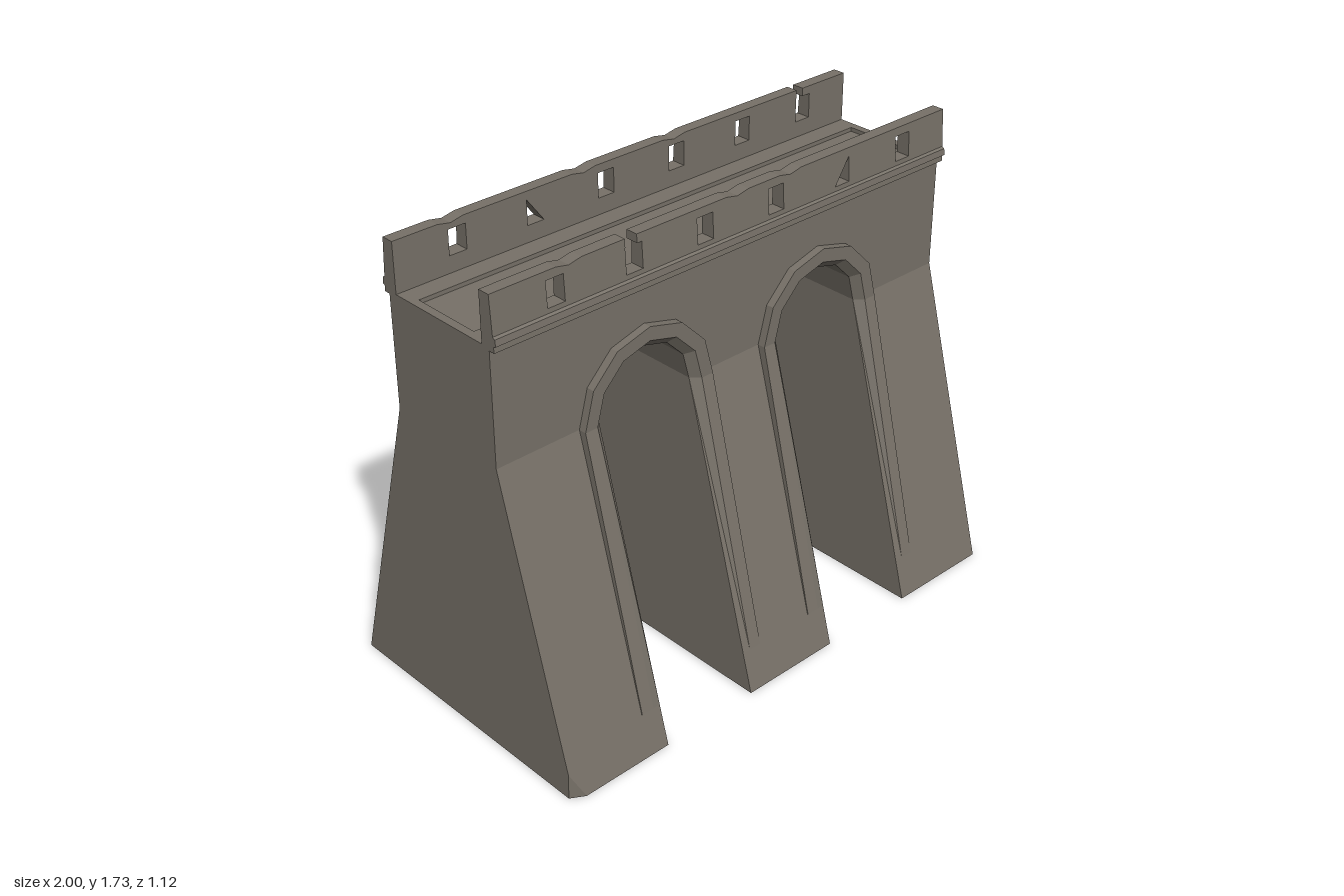
import * as THREE from 'three';
import { ConvexGeometry } from 'three/addons/geometries/ConvexGeometry.js';

const SPRING = 1.13;     // height where the arches spring and the slopes end
const WALL = 0.245;      // half thickness of the upper wall
const BASE = 0.56;       // half depth of the piers at the ground
const ARCH_X = 0.395, ARCH_R = 0.195;

const stone = new THREE.MeshStandardMaterial({ color: 0x777168 });
stone.name = 'stone';

function add(parent, name, geometry) {
  const mesh = new THREE.Mesh(geometry, stone);
  mesh.name = name;
  parent.add(mesh);
  return mesh;
}

const v2 = (x, y) => new THREE.Vector2(x, y);
const faceZ = y => (y >= SPRING ? WALL : BASE + (WALL - BASE) * y / SPRING);

// Extrude a shape in x-y between two z values
function slab(shape, z0, z1) {
  return new THREE.ExtrudeGeometry(shape, { depth: z1 - z0, bevelEnabled: false }).translate(0, 0, z0);
}

// Sloping pier, optionally with its left front foot broken off
function pierGeometry(x0, x1, chipped) {
  const pts = [];
  for (const x of [x0, x1]) for (const s of [-1, 1]) {
    pts.push(new THREE.Vector3(x, SPRING, s * WALL));
    if (chipped && x === x0 && s === 1) {
      pts.push(new THREE.Vector3(x + 0.05, 0, BASE),
        new THREE.Vector3(x, 0.1, faceZ(0.1)),
        new THREE.Vector3(x, 0, BASE - 0.03));
    } else pts.push(new THREE.Vector3(x, 0, s * BASE));
  }
  return new ConvexGeometry(pts);
}

// Wall above the springing line, cut by two six-sided half arches
function wallGeometry() {
  const pts = [v2(-1, SPRING)];
  for (const cx of [-ARCH_X, ARCH_X]) {
    for (let i = 0; i <= 6; i++) {
      const a = Math.PI * (1 - i / 6);
      pts.push(v2(cx + ARCH_R * Math.cos(a), SPRING + ARCH_R * Math.sin(a)));
    }
  }
  pts.push(v2(1, SPRING), v2(1, 1.535), v2(-1, 1.535));
  return slab(new THREE.Shape(pts), -WALL, WALL);
}

// Raised moulding that runs up one leg, round the arch and down the other,
// fading into the slope near the ground
function mouldingGeometry(cx) {
  const section = [[ARCH_R, 0], [0.225, 0.03], [0.275, 0.03], [0.275, -0.01]];
  const path = [[0, 0.15]];
  for (let i = 0; i <= 6; i++) path.push([Math.PI * i / 6, SPRING]);
  path.push([Math.PI, 0.15]);
  const pos = [], index = [], n = section.length;
  path.forEach(([a, y0], i) => {
    const lift = y0 < SPRING ? 0.1 : 1;
    for (const [r, h] of section) {
      const y = y0 + r * Math.sin(a);
      pos.push(cx + r * Math.cos(a), y, faceZ(y) + h * lift);
    }
    if (i === path.length - 1) return;
    for (let j = 0; j < n - 1; j++) {
      const p = i * n + j, q = p + n;
      index.push(p, p + 1, q, p + 1, q + 1, q);
    }
  });
  const g = new THREE.BufferGeometry();
  g.setAttribute('position', new THREE.Float32BufferAttribute(pos, 3));
  g.setIndex(index);
  const flat = g.toNonIndexed();
  flat.computeVertexNormals();
  return flat;
}

// Parapet with six window holes; one is open to the top through a gap,
// some are half filled, and the top edge has shallow nicks
function parapetGeometry({ windows, open, gap, cut, nicks }) {
  const TOP = 1.73, LOW = 1.61, HIGH = 1.7, W = 0.034;
  const top = nicks.map(x => [v2(x - 0.05, TOP), v2(x, TOP - 0.01), v2(x + 0.05, TOP)]);
  const ox = windows[open];
  top.push([v2(gap[0], TOP), v2(gap[0], HIGH), v2(ox - W, HIGH), v2(ox - W, LOW),
    v2(ox + W, LOW), v2(ox + W, HIGH), v2(gap[1], HIGH), v2(gap[1], TOP)]);
  top.sort((a, b) => a[0].x - b[0].x);
  const shape = new THREE.Shape([v2(-1, 1.54), v2(-1, TOP), ...top.flat(), v2(1, TOP), v2(1, 1.54)]);
  windows.forEach((x, i) => {
    if (i === open) return;
    const hole = [v2(x - W, LOW), v2(x + W, LOW), v2(x + W, HIGH)];
    if (i !== cut) hole.push(v2(x - W, HIGH));
    shape.holes.push(new THREE.Path(hole));
  });
  const g = slab(shape, 0.21, 0.265);
  // lean the outer face inwards
  const p = g.attributes.position;
  for (let i = 0; i < p.count; i++) {
    if (p.getZ(i) > 0.24) p.setZ(i, 0.268 - 0.012 * (p.getY(i) - 1.54) / 0.19);
  }
  g.computeVertexNormals();
  return g;
}

// Cornice strip along the full length, given as a z-y profile
function corniceGeometry() {
  const profile = [v2(0.23, 1.55), v2(0.245, 1.55), v2(0.277, 1.565), v2(0.274, 1.588),
    v2(0.262, 1.595), v2(0.23, 1.595)];
  const g = new THREE.ExtrudeGeometry(new THREE.Shape(profile), { depth: 2, bevelEnabled: false });
  return g.rotateY(-Math.PI / 2).translate(1, 0, 0);
}

// Raised kerb round the shallow deck channel
function kerbGeometry() {
  const rect = (x, z) => [v2(-x, -z), v2(x, -z), v2(x, z), v2(-x, z)];
  const shape = new THREE.Shape(rect(1, WALL));
  shape.holes.push(new THREE.Path(rect(0.97, 0.135)));
  return slab(shape, 0, 0.015).rotateX(-Math.PI / 2).translate(0, 1.535, 0);
}

export function createModel() {
  const model = new THREE.Group();
  model.name = 'archedBridge';

  add(model, 'leftEndPier', pierGeometry(0.59, 1, false));
  add(model, 'middlePier', pierGeometry(-0.2, 0.2, false));
  add(model, 'rightEndPier', pierGeometry(-1, -0.59, true));
  add(model, 'upperWall', wallGeometry());
  add(model, 'deckKerb', kerbGeometry());

  // The back half is the front half turned round, with its own damage
  const xs = [-0.757, -0.445, -0.145, 0.172, 0.485, 0.787];
  const sides = [
    { name: 'front', turn: 0, windows: xs, open: 1, gap: [-0.478, -0.43], cut: 4, nicks: [-0.7, 0, 0.24] },
    { name: 'back', turn: Math.PI, windows: xs.map(x => -x).reverse(), open: 0, gap: [-0.785, -0.755],
      cut: 4, nicks: [-0.16, 0.24, 0.78] },
  ];
  for (const side of sides) {
    const group = new THREE.Group();
    group.name = side.name + 'Side';
    group.rotation.y = side.turn;
    add(group, side.name + 'Parapet', parapetGeometry(side));
    add(group, side.name + 'Cornice', corniceGeometry());
    for (const cx of [-ARCH_X, ARCH_X]) add(group, side.name + 'ArchMoulding', mouldingGeometry(cx));
    model.add(group);
  }
  return model;
}
